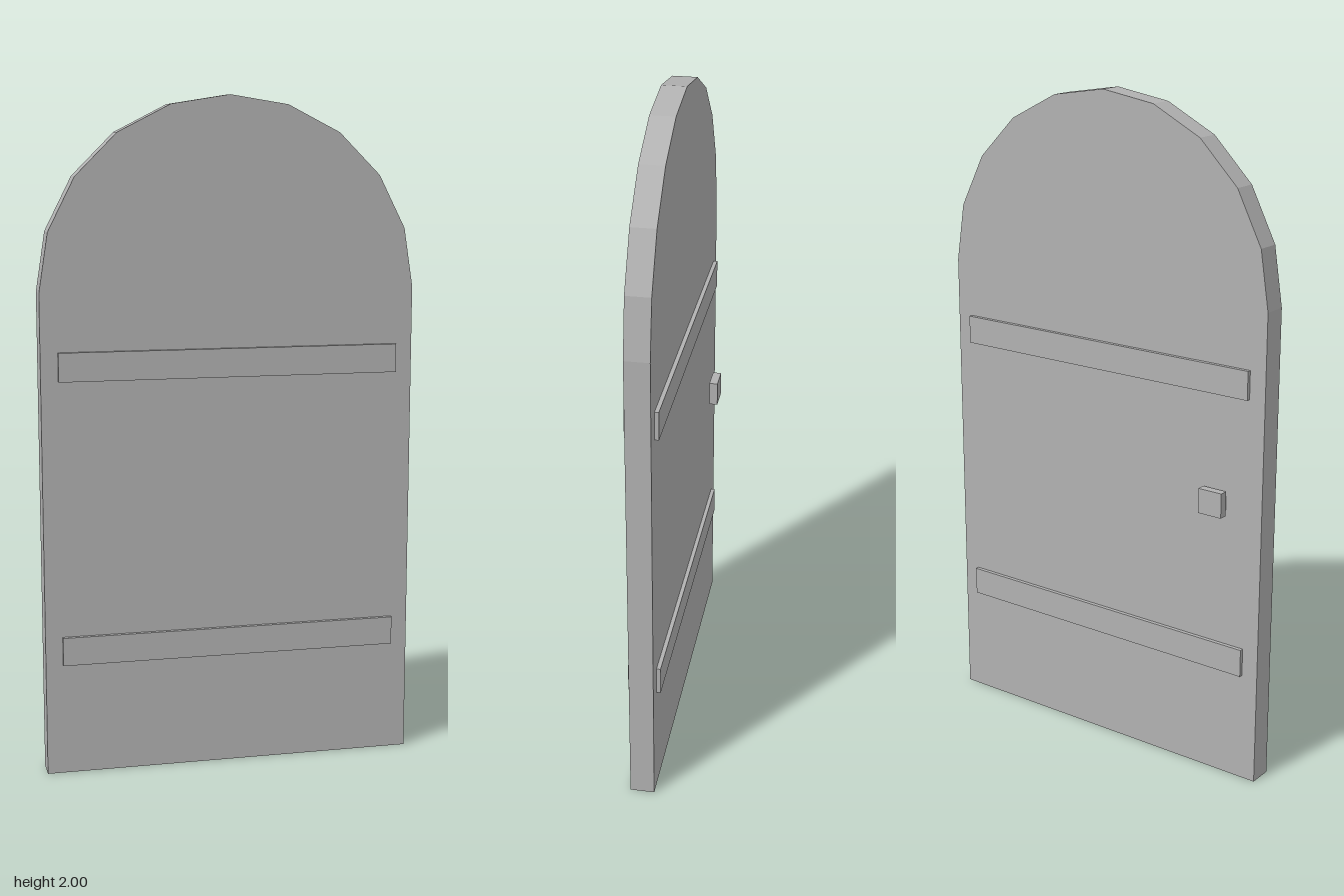
import * as THREE from 'three';

export function createModel() {
  const model = new THREE.Group();
  model.name = 'archedDoor';
  const grey = new THREE.MeshStandardMaterial({ color: 0xb2b2b2 });
  grey.name = 'plain grey';

  const R = 0.56, SPRING = 1.44; // arch radius and springing height
  const BACK = -0.023, FRONT = 0.049, RAISE = 0.012;

  const add = (name, geometry, x, y, z) => {
    const mesh = new THREE.Mesh(geometry, grey);
    mesh.name = name;
    mesh.position.set(x, y, z);
    model.add(mesh);
  };

  // Door leaf: straight sides under a ten-sided half-round arch
  const outline = [new THREE.Vector2(-R, 0), new THREE.Vector2(R, 0)];
  for (let i = 0; i <= 10; i++) {
    const a = (i / 10) * Math.PI;
    outline.push(new THREE.Vector2(R * Math.cos(a), SPRING + R * Math.sin(a)));
  }
  add('doorLeaf', new THREE.ExtrudeGeometry(new THREE.Shape(outline), {
    depth: FRONT - BACK, bevelEnabled: false,
  }), 0, 0, BACK);

  // Flat straps, a pair on each face
  const strap = new THREE.BoxGeometry(1.018, 0.085, RAISE);
  for (const [level, y] of [['lower', 0.378], ['upper', 1.226]]) {
    add(level + 'FrontStrap', strap, 0, y, FRONT + RAISE / 2);
    add(level + 'BackStrap', strap, 0, y, BACK - RAISE / 2);
  }

  // Square handle standing just off the back face
  add('handle', new THREE.BoxGeometry(0.078, 0.075, 0.026), -0.408, 0.864, -0.048);

  return model;
}
